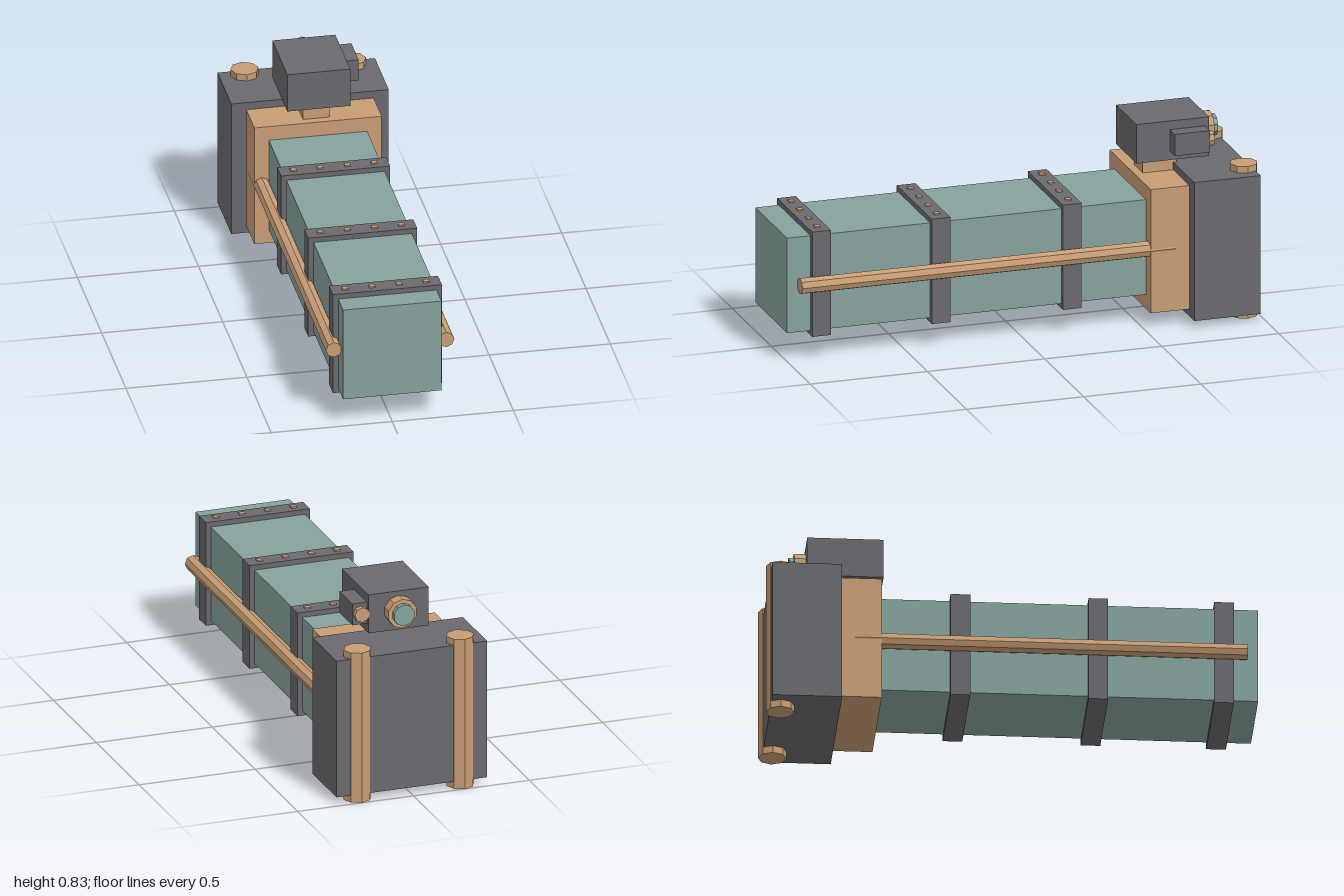
import * as THREE from 'three';

const paint = (name, color) => {
  const m = new THREE.MeshStandardMaterial({ color });
  m.name = name;
  return m;
};

export function createModel() {
  const model = new THREE.Group();
  model.name = 'boxBarrelDevice';
  const teal = paint('dull teal', 0x86a29d);
  const grey = paint('dark grey', 0x6a696e);
  const tan = paint('tan', 0xc79d75);

  const add = (name, geometry, material) => {
    const mesh = new THREE.Mesh(geometry, material);
    mesh.name = name;
    model.add(mesh);
    return mesh;
  };
  // Box given by its lower and upper limits on each axis
  const box = (name, material, [x0, x1], [y0, y1], [z0, z1]) =>
    add(name, new THREE.BoxGeometry(x1 - x0, y1 - y0, z1 - z0), material)
      .position.set((x0 + x1) / 2, (y0 + y1) / 2, (z0 + z1) / 2);
  // Faceted bar, upright or lying along z
  const facet = (geometry) => {
    const flat = geometry.toNonIndexed();
    flat.computeVertexNormals();
    return flat;
  };
  const barZ = (name, material, r, x, y, z0, z1, sides = 8) => {
    const g = facet(new THREE.CylinderGeometry(r, r, z1 - z0, sides).rotateX(Math.PI / 2));
    add(name, g, material).position.set(x, y, (z0 + z1) / 2);
  };

  // Long square body
  box('body', teal, [-0.203, 0.203], [0.122, 0.528], [-0.55, 1]);

  // Clamping bands with a row of rivets on top
  for (const z of [-0.21, 0.35, 0.86]) {
    box('band', grey, [-0.225, 0.225], [0.102, 0.55], [z - 0.04, z + 0.04]);
    for (const x of [-0.167, -0.056, 0.056, 0.167]) {
      box('rivet', tan, [x - 0.012, x + 0.012], [0.54, 0.556], [z - 0.011, z + 0.011]);
    }
  }

  // Collar and rear block
  box('collar', tan, [-0.263, 0.263], [0.061, 0.59], [-0.71, -0.532]);
  box('rearBlock', grey, [-0.325, 0.325], [0.03, 0.622], [-0.98, -0.697]);

  // Side rods and vertical pins, mirrored
  for (const s of [-1, 1]) {
    barZ('sideRod', tan, 0.0335, s * 0.232, 0.327, -0.64, 0.955);
    add('rearPin', facet(new THREE.CylinderGeometry(0.058, 0.058, 0.65, 8)), tan)
      .position.set(s * 0.222, 0.325, -0.942);
  }

  // Sight unit on its post
  box('sightPost', tan, [-0.055, 0.055], [0.58, 0.67], [-0.712, -0.567]);
  box('sightHousing', grey, [-0.13, 0.13], [0.66, 0.827], [-0.825, -0.515]);
  box('sideModule', grey, [0.12, 0.193], [0.697, 0.79], [-0.808, -0.658]);

  // Eyepiece and side knob facing the rear
  barZ('eyepiece', tan, 0.063, 0, 0.745, -0.872, -0.81, 10);
  barZ('eyepieceLens', teal, 0.046, 0, 0.745, -0.893, -0.86, 10);
  barZ('sideKnob', tan, 0.032, 0.158, 0.745, -0.83, -0.8);

  return model;
}
